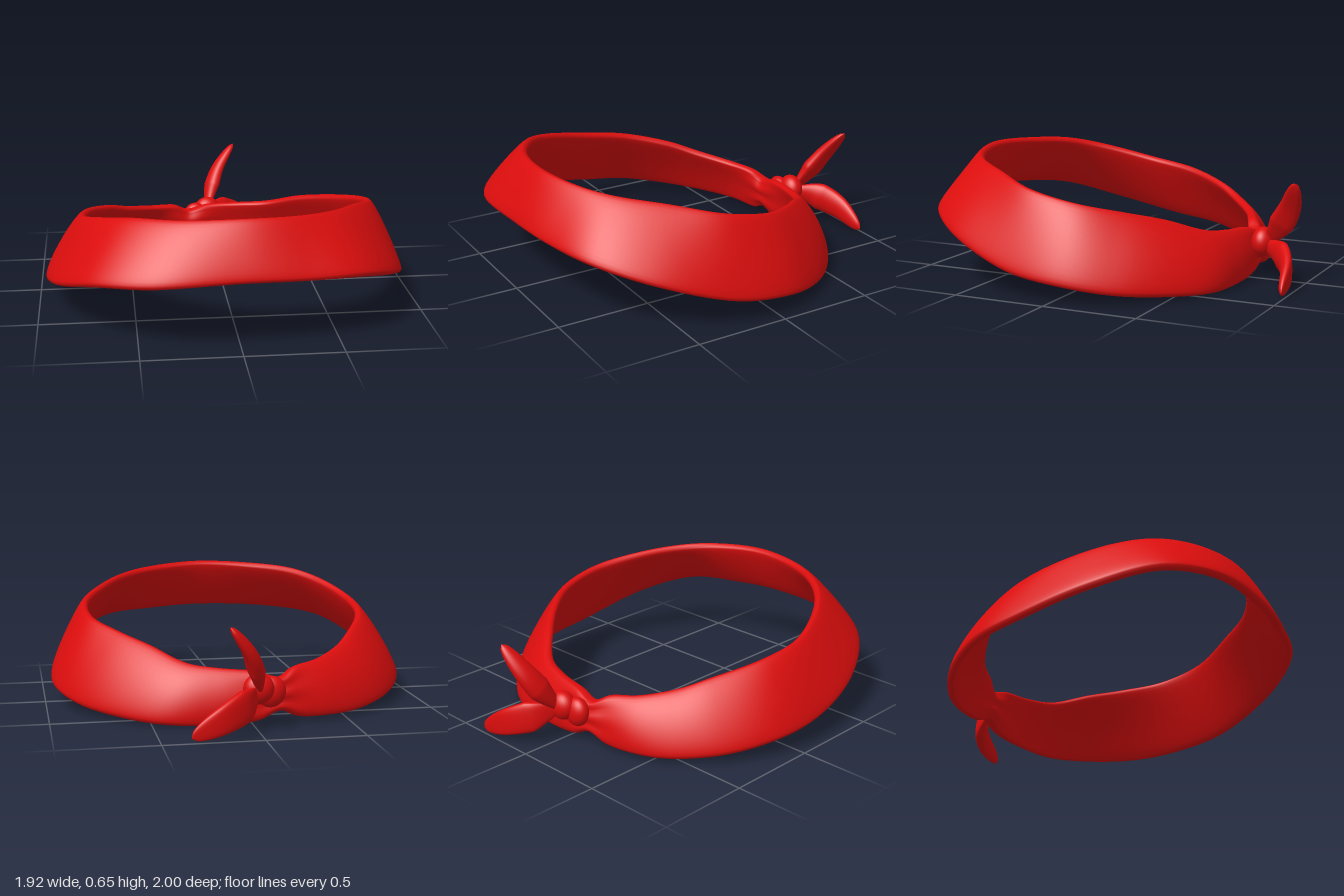
import * as THREE from 'three';

const V = (x, y, z) => new THREE.Vector3(x, y, z);

// Stations round the head: lower edge x, y, z then upper edge x, y, z
const STATIONS = [
  [0, .37, .985, .03, .645, .835], [.3, .36, .95, .30, .63, .765],
  [.6, .34, .86, .47, .61, .65], [.81, .26, .63, .62, .58, .45],
  [.935, .135, .24, .755, .525, .2], [.94, .09, -.07, .745, .47, -.05],
  [.835, .05, -.305, .62, .42, -.25], [.645, .025, -.515, .475, .37, -.405],
  [.44, .01, -.645, .31, .30, -.55], [.2, .005, -.68, .15, .28, -.61],
  [-.03, .02, -.68, -.03, .265, -.64], [-.14, .065, -.67, -.14, .235, -.65],
  [-.24, .03, -.665, -.22, .275, -.61], [-.42, .025, -.64, -.355, .295, -.54],
  [-.59, .03, -.56, -.5, .335, -.41], [-.79, .055, -.375, -.60, .385, -.28],
  [-.92, .095, -.13, -.72, .445, -.04], [-.95, .13, .15, -.745, .49, .22],
  [-.89, .215, .5, -.64, .565, .50], [-.71, .315, .805, -.495, .61, .665],
  [-.43, .35, .968, -.28, .63, .79],
];

// Skin a surface over rings of points; ring(i) returns an array of Vector3
function skin(rows, closed, ring) {
  const pos = [], idx = [];
  let n = 0;
  for (let i = 0; i < rows; i++) {
    const pts = ring(i);
    n = pts.length;
    pts.forEach((p) => pos.push(p.x, p.y, p.z));
  }
  for (let i = 0; i < (closed ? rows : rows - 1); i++) {
    const k = (i + 1) % rows;
    for (let j = 0; j < n; j++) {
      const m = (j + 1) % n;
      idx.push(i * n + j, k * n + j, k * n + m, i * n + j, k * n + m, i * n + m);
    }
  }
  const g = new THREE.BufferGeometry();
  g.setAttribute('position', new THREE.Float32BufferAttribute(pos, 3));
  g.setIndex(idx);
  g.computeVertexNormals();
  return g;
}

// Flat rounded section from a to b, thickened along normal, bowed outward
function clothSection(a, b, normal, half, bow, power, ripple = 0) {
  const pts = [];
  for (let j = 0; j < 32; j++) {
    const t = (j / 32) * Math.PI * 2;
    const s = 0.5 - 0.5 * Math.cos(t);
    const thick = half * Math.sign(Math.sin(t)) * Math.abs(Math.sin(t)) ** power;
    const off = thick + bow * 4 * s * (1 - s) + ripple * Math.sin(s * Math.PI * 5);
    pts.push(a.clone().lerp(b, s).addScaledVector(normal, off));
  }
  return pts;
}

// Loop round the head, thicker and pleated where it is pinched by the knot
function bandGeometry() {
  const lower = new THREE.CatmullRomCurve3(STATIONS.map((s) => V(s[0], s[1], s[2])), true, 'centripetal');
  const upper = new THREE.CatmullRomCurve3(STATIONS.map((s) => V(s[3], s[4], s[5])), true, 'centripetal');
  const rows = 168;
  return skin(rows, true, (i) => {
    const t = i / rows;
    const a = lower.getPoint(t), b = upper.getPoint(t);
    const normal = lower.getTangent(t).add(upper.getTangent(t)).cross(b.clone().sub(a)).normalize();
    const back = THREE.MathUtils.smoothstep(-a.z, -0.3, 0.6);
    const pinch = Math.exp(-(((a.x + 0.13) / 0.13) ** 2)) * back;
    return clothSection(a, b, normal, 0.033 + 0.014 * pinch, 0.02 * back * (1 - pinch), 0.5, 0.006 * pinch);
  });
}

// Leaf-shaped loose end following a path, broad across the given direction
function tailGeometry(path, across, width, thick) {
  const curve = new THREE.CatmullRomCurve3(path);
  const rows = 32;
  return skin(rows, false, (i) => {
    const t = i / (rows - 1);
    const c = curve.getPoint(t), dir = curve.getTangent(t);
    const w = across.clone().addScaledVector(dir, -across.dot(dir)).normalize();
    const normal = dir.clone().cross(w).normalize();
    const swell = Math.min(1, 0.35 + 1.7 * t) * Math.sqrt(Math.max(0.0004, 1 - t ** 2.8));
    const a = c.clone().addScaledVector(w, -width * swell);
    const b = c.clone().addScaledVector(w, width * swell);
    return clothSection(a, b, normal, thick * swell, 0.01 * swell, 0.8);
  });
}

export function createModel() {
  const group = new THREE.Group();
  const redCloth = new THREE.MeshStandardMaterial({ color: 0xdc0d0d });
  redCloth.name = 'redCloth';
  const add = (name, geometry) => {
    const mesh = new THREE.Mesh(geometry, redCloth);
    mesh.name = name;
    group.add(mesh);
    return mesh;
  };

  add('headBand', bandGeometry());

  // Knot: a rounded core with the folded strand beside it
  const lump = (name, p, r, tilt) => {
    const m = add(name, new THREE.SphereGeometry(1, 28, 20));
    m.position.set(...p);
    m.scale.set(...r);
    m.rotation.z = tilt;
  };
  lump('knotCore', [-0.015, 0.2, -0.755], [0.078, 0.078, 0.06], -0.4);
  lump('knotSide', [-0.085, 0.175, -0.72], [0.075, 0.08, 0.052], 0.3);

  // Loose ends
  add('upperTail', tailGeometry(
    [V(-0.01, 0.2, -0.78), V(0.025, 0.3, -0.86), V(0.07, 0.405, -0.925), V(0.17, 0.55, -0.985)],
    V(-0.25, -0.45, -0.8), 0.07, 0.042));
  add('lowerTail', tailGeometry(
    [V(0, 0.185, -0.78), V(0.065, 0.155, -0.885), V(0.185, 0.105, -0.96), V(0.355, 0.025, -0.985)],
    V(0.1, 0.99, 0), 0.086, 0.038));
  return group;
}
